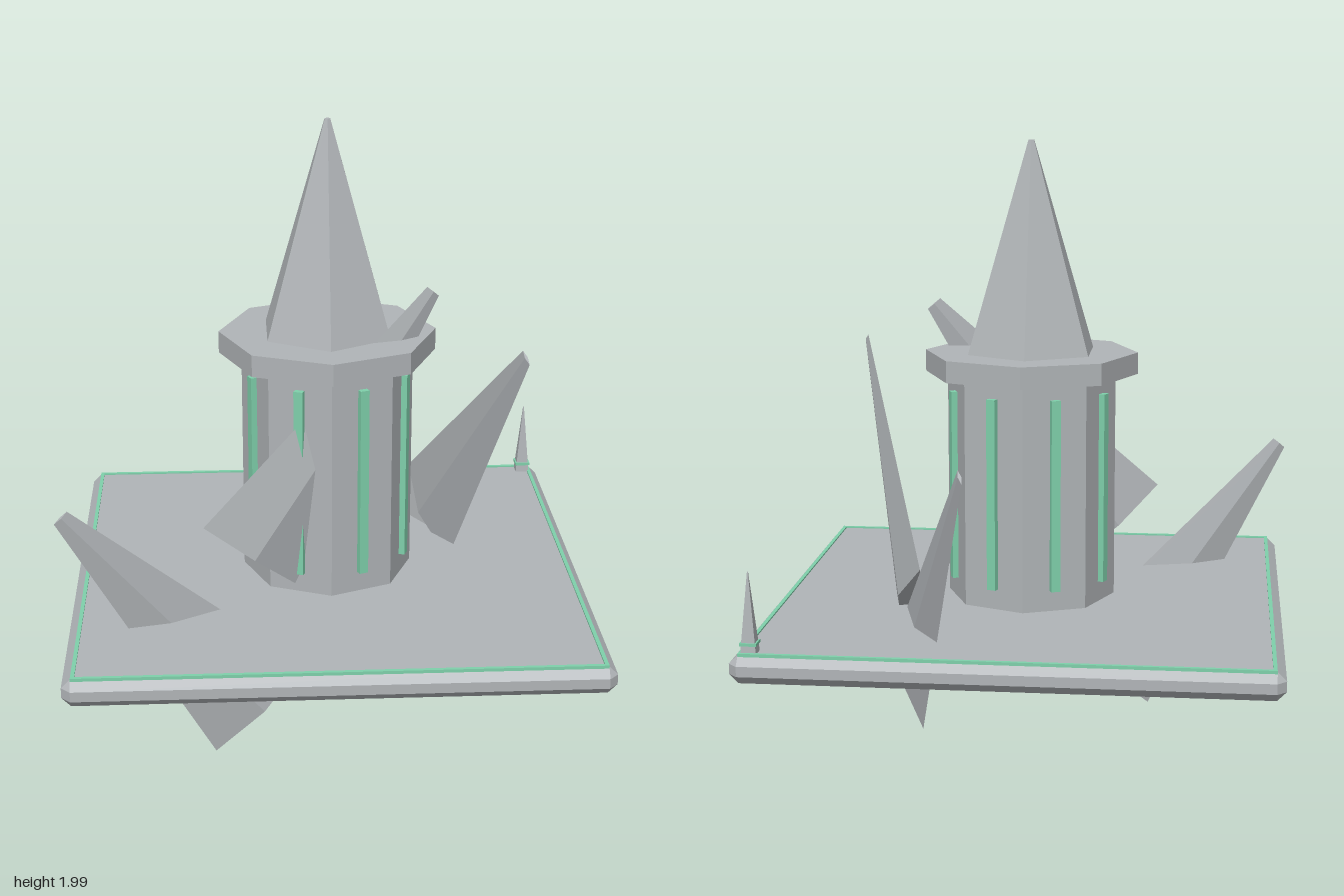
import * as THREE from 'three';
import { ConvexGeometry } from 'three/addons/geometries/ConvexGeometry.js';

const stone = new THREE.MeshStandardMaterial({ name: 'grey stone', color: 0xb0b4b7, flatShading: true });
const glow = new THREE.MeshStandardMaterial({ name: 'mint trim', color: 0x7fd0ab, flatShading: true });

export function createModel() {
  const model = new THREE.Group();
  const CX = 0.005, CZ = 0.03;

  const add = (name, geometry, material, x, y, z) => {
    const mesh = new THREE.Mesh(geometry, material);
    mesh.name = name;
    mesh.position.set(x, y, z);
    model.add(mesh);
    return mesh;
  };

  // Platform: box with chamfered edges and corners
  const hx = 0.825, hy = 0.044, hz = 0.82, c = 0.028;
  const points = [];
  for (const sx of [-1, 1]) for (const sy of [-1, 1]) for (const sz of [-1, 1]) {
    points.push(
      new THREE.Vector3(sx * hx, sy * (hy - c), sz * (hz - c)),
      new THREE.Vector3(sx * (hx - c), sy * hy, sz * (hz - c)),
      new THREE.Vector3(sx * (hx - c), sy * (hy - c), sz * hz));
  }
  add('platform', new ConvexGeometry(points), stone, CX, 0.469, CZ);

  // Thin trim along the platform's top edge
  for (const s of [-1, 1]) {
    add('platformTrimSide', new THREE.BoxGeometry(0.012, 0.01, 1.594), glow, CX + s * 0.791, 0.513, CZ);
    add('platformTrimEnd', new THREE.BoxGeometry(1.57, 0.01, 0.012), glow, CX, 0.513, CZ + s * 0.791);
  }

  // Eight-sided tower, overhanging ring and six-sided spire
  add('tower', new THREE.CylinderGeometry(0.275, 0.275, 0.75, 8), stone, CX, 0.88, CZ);
  add('ring', new THREE.CylinderGeometry(0.347, 0.347, 0.07, 8), stone, CX, 1.285, CZ);
  add('spire', new THREE.CylinderGeometry(0.01, 0.225, 0.685, 6), stone, CX, 1.6575, CZ);

  // A light strip on each tower face
  for (let i = 0; i < 8; i++) {
    const a = (i + 0.5) * Math.PI / 4;
    const strip = add('lightStrip', new THREE.BoxGeometry(0.03, 0.62, 0.025), glow,
      CX + Math.sin(a) * 0.261, 0.89, CZ + Math.cos(a) * 0.261);
    strip.rotation.y = a;
  }

  // Flattened leaning shards: [foot x, y, z, heading in degrees, length, foot radius]
  const shards = [
    [-0.23, 0.135, 0.333, 202.5, 1.013, 0.2],
    [0.37, 0.565, -0.244, -67.5, 0.96, 0.19],
    [0.365, 0.295, -0.256, 112.5, 1.02, 0.2],
    [-0.255, 0.675, 0.34, 22.5, 1.013, 0.2],
  ];
  for (const [x, y, z, heading, length, radius] of shards) {
    const g = new THREE.CylinderGeometry(0.027, radius, length, 4);
    g.scale(1, 1, 0.2);
    g.translate(0, length / 2, 0);
    g.rotateZ(-THREE.MathUtils.degToRad(39));
    g.rotateY(THREE.MathUtils.degToRad(heading));
    add('shard', g, stone, x, y, z);
  }

  // Small corner spike with a collar
  add('cornerSpike', new THREE.CylinderGeometry(0.002, 0.034, 0.25, 4).rotateY(Math.PI / 4), stone, 0.772, 0.637, -0.733);
  add('cornerCollar', new THREE.BoxGeometry(0.052, 0.009, 0.052), glow, 0.772, 0.543, -0.733);

  return model;
}
